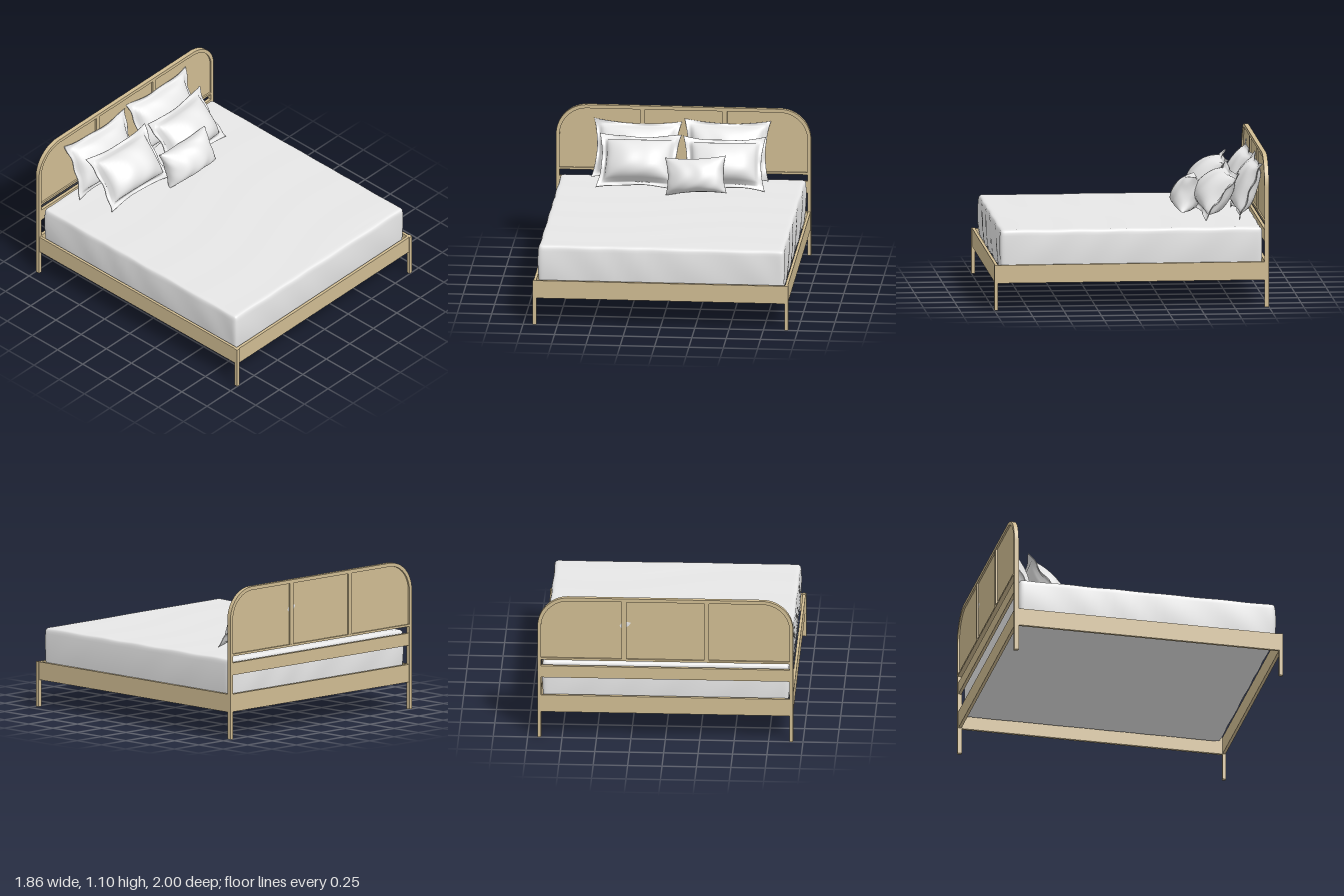
import * as THREE from 'three';
import { mergeVertices } from 'three/addons/utils/BufferGeometryUtils.js';

const wood = new THREE.MeshStandardMaterial({ color: 0xd0bc92 });
wood.name = 'oak wood';
const linen = new THREE.MeshStandardMaterial({ color: 0xe8e8e8 });
linen.name = 'white linen';

function add(parent, name, geometry, material) {
  const mesh = new THREE.Mesh(geometry, material);
  mesh.name = name;
  parent.add(mesh);
  return mesh;
}

// Wooden box given by its lower and upper limits
function board(parent, name, x0, x1, y0, y1, z0, z1) {
  const mesh = add(parent, name, new THREE.BoxGeometry(x1 - x0, y1 - y0, z1 - z0), wood);
  mesh.position.set((x0 + x1) / 2, (y0 + y1) / 2, (z0 + z1) / 2);
  return mesh;
}

// Moves the vertices of a subdivided 2x2x2 box by a rule and smooths the result
function shapedBox(nx, ny, nz, rule) {
  const geo = new THREE.BoxGeometry(2, 2, 2, nx, ny, nz);
  const pos = geo.attributes.position;
  const p = new THREE.Vector3();
  for (let i = 0; i < pos.count; i++) {
    p.fromBufferAttribute(pos, i);
    rule(p);
    pos.setXYZ(i, p.x, p.y, p.z);
  }
  geo.deleteAttribute('normal');
  geo.deleteAttribute('uv');
  const merged = mergeVertices(geo, 1e-5);
  merged.computeVertexNormals();
  return merged;
}

const ease = (t) => Math.sin((t * Math.PI) / 2);

// Soft mattress in a loosely creased sheet
function mattressGeometry(w, h, d, r) {
  const half = new THREE.Vector3(w / 2, h / 2, d / 2);
  const inner = half.clone().subScalar(r);
  const core = new THREE.Vector3();
  return shapedBox(48, 16, 48, (p) => {
    p.set(ease(p.x), ease(p.y), ease(p.z)).multiply(half);
    core.copy(p).clamp(inner.clone().negate(), inner);
    const n = p.clone().sub(core).normalize();
    p.copy(core).addScaledVector(n, r);
    // slanting folds on the sides, faint long ripples on top
    const folds = 0.0025 * Math.sin((p.x + p.z) * 17 + p.y * 14 + Math.sin((p.x - p.z) * 5));
    const ripples = 0.0015 * Math.sin(p.z * 16 + p.x * 2 + Math.sin(p.x * 4));
    const bulge = 0.008 * (1 - (p.y / half.y) ** 2);
    p.x += n.x * (bulge + folds);
    p.z += n.z * (bulge + folds);
    p.y += Math.max(0, n.y) * ripples;
  });
}

// Stuffed cushion with pinched sides and, if flange > 0, a flat wavy border
function pillowGeometry(w, h, depth, flange, seed) {
  const kx = 1 - (2 * flange) / w;
  const ky = 1 - (2 * flange) / h;
  return shapedBox(36, 30, 1, (p) => {
    const u = ease(p.x), v = ease(p.y), side = p.z;
    const a = Math.min(1, Math.abs(u) / kx), b = Math.min(1, Math.abs(v) / ky);
    const fill = Math.pow((1 - a * a) * (1 - b * b), 0.42) * (1 - 0.22 * v);
    const border = Math.max(Math.abs(u), Math.abs(v)) ** 6;
    const wave = (flange > 0 ? 0.008 : 0.004) * border * Math.sin(u * 6 + v * 8 + seed * 2.1);
    const fold = 0.004 * fill * Math.sin(u * 9 + seed + v * v * 5);
    const plump = side > 0 ? depth * 0.58 : depth * 0.42;
    p.x = (w / 2) * u * (1 - 0.1 * (1 - v * v) * u * u);
    p.y = (h / 2) * v * (1 - 0.13 * (1 - u * u) * v * v);
    p.z = side * (0.003 + plump * fill + fold) + wave;
  });
}

// Arched outline of the headboard, from one foot to the other
function archPath(path, halfWidth, bottom, top, radius) {
  path.moveTo(-halfWidth, bottom);
  path.lineTo(-halfWidth, top - radius);
  path.absarc(-halfWidth + radius, top - radius, radius, Math.PI, Math.PI / 2, true);
  path.absarc(halfWidth - radius, top - radius, radius, Math.PI / 2, 0, true);
  path.lineTo(halfWidth, bottom);
  return path;
}

function extrude(shape, z0, z1) {
  const geo = new THREE.ExtrudeGeometry(shape, { depth: z1 - z0, bevelEnabled: false, curveSegments: 20 });
  return geo.translate(0, 0, z0);
}

export function createModel() {
  const bed = new THREE.Group();
  bed.name = 'bed';

  // Headboard: arched frame running down into the back legs
  const headboard = new THREE.Group();
  headboard.name = 'headboard';
  bed.add(headboard);
  const frame = archPath(new THREE.Shape(), 0.928, 0, 1.1, 0.225);
  const inside = archPath(new THREE.Path(), 0.902, 0, 1.074, 0.2).getPoints(20).reverse();
  inside.forEach((q) => frame.lineTo(q.x, q.y));
  add(headboard, 'archFrame', extrude(frame, -1, -0.968), wood);
  const panel = archPath(new THREE.Shape(), 0.904, 0.612, 1.076, 0.202);
  add(headboard, 'headboardPanel', extrude(panel, -0.987, -0.98), wood);
  board(headboard, 'panelRail', -0.904, 0.904, 0.61, 0.626, -1, -0.968);
  for (const s of [-1, 1]) {
    board(headboard, 'panelStile', s * 0.3 - 0.018, s * 0.3 + 0.018, 0.62, 1.075, -0.999, -0.969);
  }
  board(headboard, 'middleRail', -0.904, 0.904, 0.47, 0.56, -0.995, -0.972);

  // Base frame
  board(bed, 'headRail', -0.904, 0.904, 0.2, 0.33, -0.995, -0.972);
  board(bed, 'footRail', -0.91, 0.91, 0.198, 0.33, 0.972, 0.994);
  for (const s of [-1, 1]) {
    const rail = board(bed, 'sideRail', -0.01, 0.01, 0.198, 0.33, -0.97, 0.975);
    rail.position.x = s * 0.915;
    const leg = board(bed, 'frontLeg', -0.0135, 0.0135, 0, 0.331, 0.973, 1);
    leg.position.x = s * 0.9165;
  }

  // Mattress, sunk between the rails
  const mattress = add(bed, 'mattress', mattressGeometry(1.782, 0.302, 1.9, 0.025), linen);
  mattress.position.set(0, 0.431, 0);

  // Pillows: [name, width, height, depth, flange, position, lean, turn, tilt]
  const pillows = [
    ['backPillowLeft', 0.63, 0.44, 0.17, 0.04, [0.32, 0.805, -0.895], 0.38, 0, -0.01],
    ['backPillowRight', 0.64, 0.43, 0.17, 0.04, [-0.335, 0.795, -0.895], 0.38, 0, -0.02],
    ['middlePillowLeft', 0.6, 0.42, 0.23, 0.045, [0.32, 0.765, -0.67], 0.66, 0.06, 0.03],
    ['middlePillowRight', 0.6, 0.43, 0.23, 0.045, [-0.3, 0.77, -0.67], 0.66, -0.04, -0.02],
    ['smallPillow', 0.45, 0.275, 0.2, 0, [0.13, 0.725, -0.485], 0.33, -0.1, 0.05],
  ];
  pillows.forEach(([name, w, h, depth, flange, at, lean, turn, tilt], i) => {
    const pillow = add(bed, name, pillowGeometry(w, h, depth, flange, i + 1), linen);
    pillow.position.set(...at);
    pillow.rotation.set(-lean, turn, tilt);
  });

  return bed;
}
